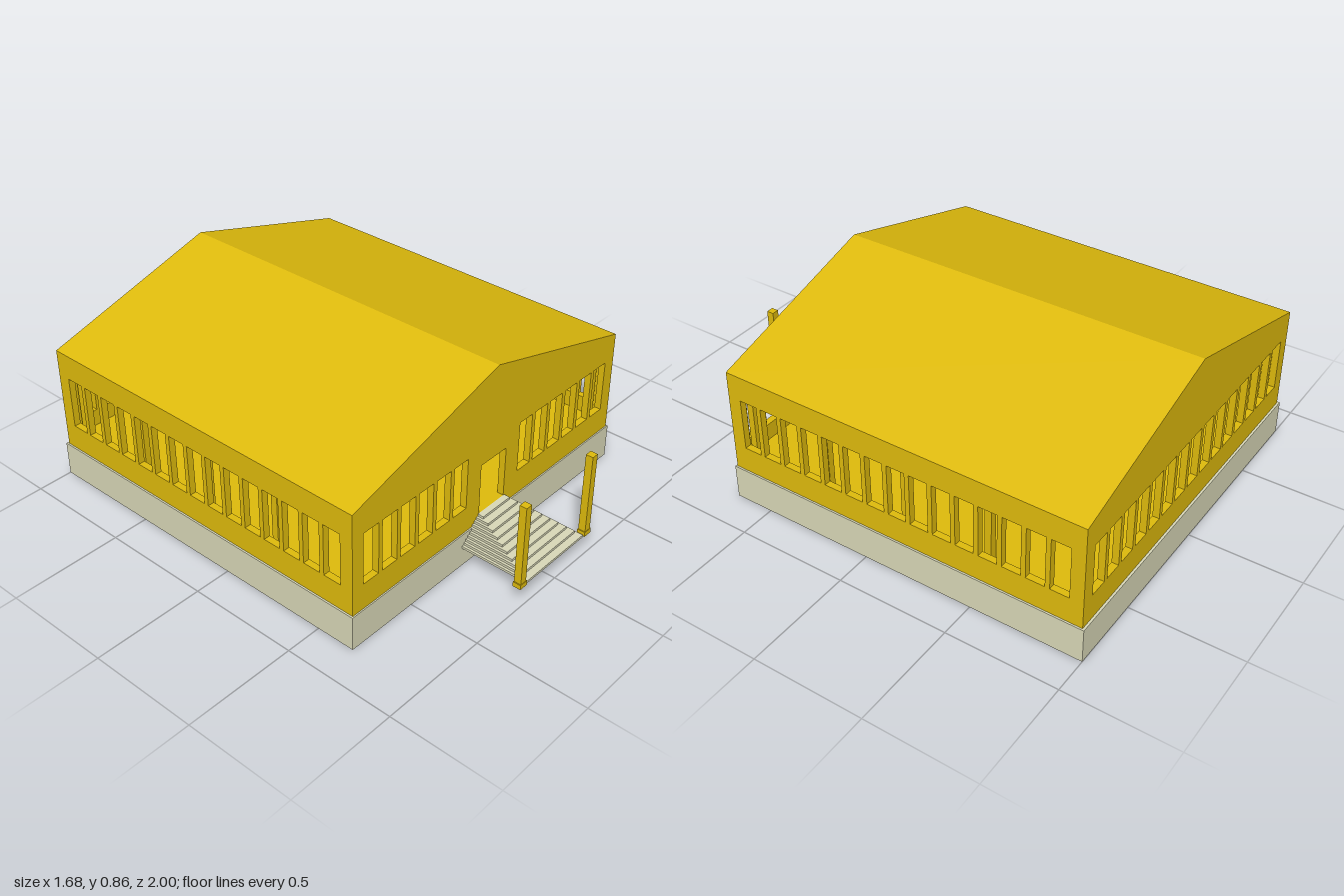
import * as THREE from 'three';

const yellow = new THREE.MeshStandardMaterial({ color: 0xdfbb0c });
const stone = new THREE.MeshStandardMaterial({ color: 0xd9d8b8 });

const HALF = 0.83, BACK = -0.99, FRONT = 0.67, MID = (FRONT + BACK) / 2;
const BASE = 0.157, FLOOR = 0.2, EAVES = 0.628, RIDGE = 0.862;
const WALL = 0.03, ROOF = 0.03;
const PITCH = 0.104, WINDOW = 0.083, SILL = 0.275, HEAD = 0.512;

export function createModel() {
  const group = new THREE.Group();

  const add = (name, geometry, material, x = 0, y = 0, z = 0) => {
    const mesh = new THREE.Mesh(geometry, material);
    mesh.name = name;
    mesh.position.set(x, y, z);
    group.add(mesh);
    return mesh;
  };
  const box = (name, material, w, h, d, x, y, z) =>
    add(name, new THREE.BoxGeometry(w, h, d), material, x, y + h / 2, z);

  const polygon = (points) => new THREE.Shape(points.map(([x, y]) => new THREE.Vector2(x, y)));
  const cut = (shape, x0, x1, y0, y1) => {
    const hole = new THREE.Path();
    hole.moveTo(x0, y0).lineTo(x0, y1).lineTo(x1, y1).lineTo(x1, y0).closePath();
    shape.holes.push(hole);
  };
  // A row of 15 windows centred on the wall, leaving out the middle ones if asked
  const cutWindows = (shape, skipMiddle = 0) => {
    for (let i = -7; i <= 7; i++) {
      if (Math.abs(i) < skipMiddle) continue;
      cut(shape, i * PITCH - WINDOW / 2, i * PITCH + WINDOW / 2, SILL, HEAD);
    }
  };
  const extrude = (shape, depth) =>
    new THREE.ExtrudeGeometry(shape, { depth, bevelEnabled: false });

  // Foundation and floor
  box('foundation', stone, 1.676, BASE, 1.676, 0, 0, -0.162);
  box('floor', yellow, 2 * (HALF - WALL), FLOOR - BASE, FRONT - BACK - 2 * WALL, 0, BASE, MID);

  // Gable walls: windows and doorway in front, an unbroken row behind
  const gable = () => polygon([
    [-HALF, BASE], [HALF, BASE], [HALF, EAVES - ROOF], [0, RIDGE - ROOF], [-HALF, EAVES - ROOF],
  ]);
  const front = gable();
  cutWindows(front, 2);
  cut(front, -0.08, 0.08, FLOOR, 0.435);
  add('frontWall', extrude(front, WALL), yellow, 0, 0, FRONT - WALL);
  const back = gable();
  cutWindows(back);
  add('backWall', extrude(back, WALL), yellow, 0, 0, BACK);

  // Side walls
  const halfLength = (FRONT - BACK) / 2 - WALL;
  const side = polygon([
    [-halfLength, BASE], [halfLength, BASE], [halfLength, EAVES - ROOF], [-halfLength, EAVES - ROOF],
  ]);
  cutWindows(side);
  const sideGeometry = extrude(side, WALL).rotateY(Math.PI / 2);
  add('leftWall', sideGeometry, yellow, HALF - WALL, 0, MID);
  add('rightWall', sideGeometry, yellow, -HALF, 0, MID);

  // Pitched roof
  const roof = polygon([
    [-HALF, EAVES - ROOF], [0, RIDGE - ROOF], [HALF, EAVES - ROOF],
    [HALF, EAVES], [0, RIDGE], [-HALF, EAVES],
  ]);
  add('roof', extrude(roof, FRONT - BACK), yellow, 0, 0, BACK);

  // Interior columns along the centre line and beside the walls
  for (let i = 0; i < 5; i++) {
    const z = -0.93 + i * 0.385;
    for (const x of [-0.765, 0, 0.765]) {
      if (x === 0 && (i === 0 || i === 4)) continue;
      const top = RIDGE - ROOF - Math.abs(x) * (RIDGE - EAVES) / HALF;
      box('column', yellow, 0.03, top - FLOOR, 0.03, x, FLOOR, z);
    }
  }

  // Entrance steps, narrowing on three sides towards the door
  const steps = 10, rise = 0.011;
  for (let i = 0; i < steps; i++) {
    const nose = 0.995 - i * 0.033;
    box('step', stone, 2 * (0.19 - i * 0.0115), rise, nose - FRONT, 0, 0.09 + i * rise, (nose + FRONT) / 2);
  }

  // Free-standing posts beside the steps
  for (const s of [-1, 1]) {
    box('entrancePost', yellow, 0.033, 0.39, 0.033, s * 0.216, 0.09, 0.981);
    box('postBase', yellow, 0.042, 0.022, 0.037, s * 0.216, 0.09, 0.981);
  }

  return group;
}
